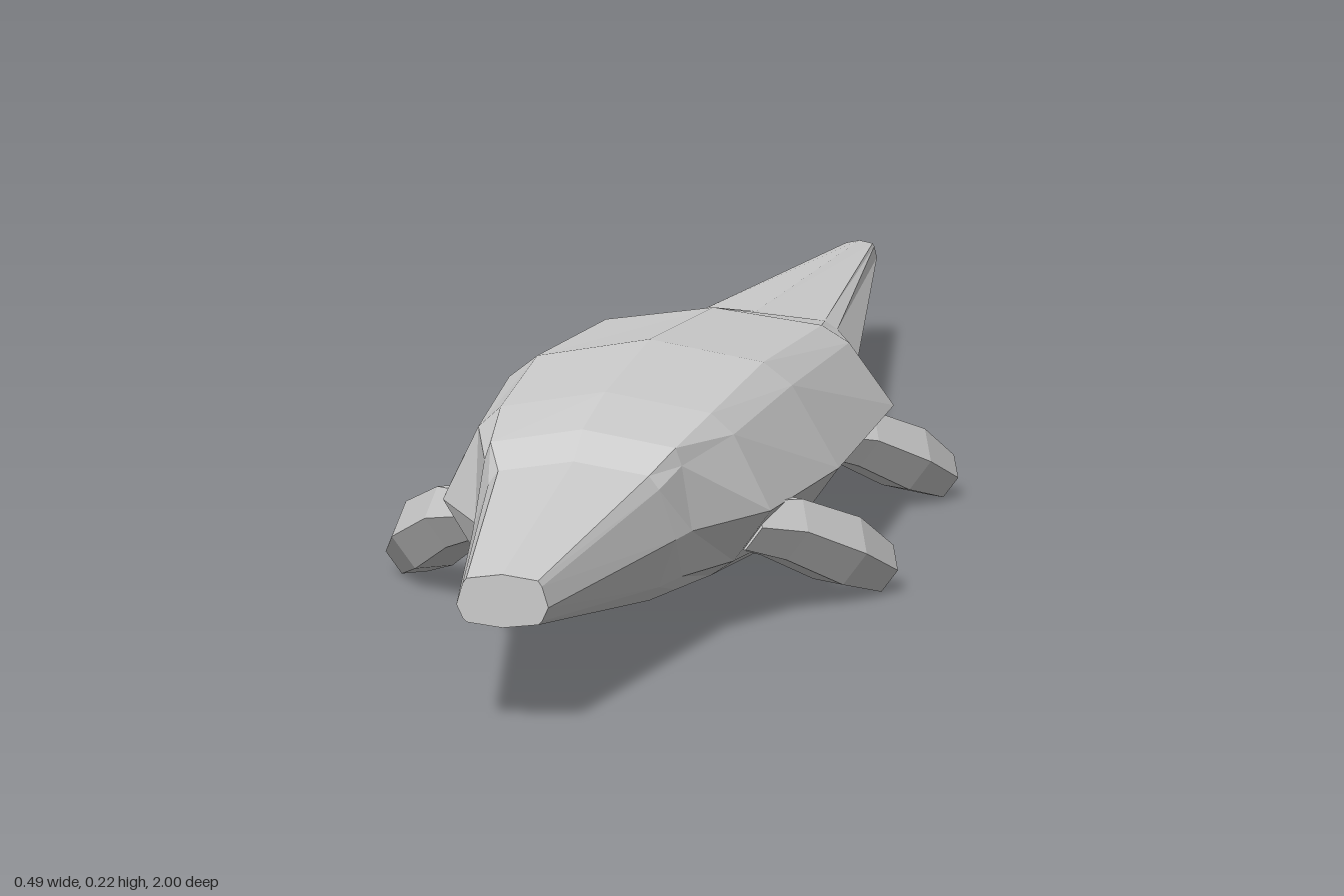
import * as THREE from 'three';

const material = new THREE.MeshStandardMaterial({ color: 0xcccccc, flatShading: true });

// Skin a list of equal-length rings and close both ends
function loft(name, rings) {
  const pos = [];
  const tri = (...pts) => pts.forEach((p) => pos.push(p.x, p.y, p.z));
  const n = rings[0].length;
  for (let i = 0; i < rings.length - 1; i++) {
    for (let j = 0; j < n; j++) {
      const k = (j + 1) % n;
      const a = rings[i][j], b = rings[i][k], c = rings[i + 1][k], d = rings[i + 1][j];
      tri(a, b, c);
      tri(a, c, d);
    }
  }
  const first = rings[0], last = rings[rings.length - 1];
  for (let j = 1; j < n - 1; j++) {
    tri(first[0], first[j + 1], first[j]);
    tri(last[0], last[j], last[j + 1]);
  }
  const geo = new THREE.BufferGeometry();
  geo.setAttribute('position', new THREE.Float32BufferAttribute(pos, 3));
  geo.computeVertexNormals();
  const mesh = new THREE.Mesh(geo, material);
  mesh.name = name;
  return mesh;
}

// Body cross-section: flat-topped, with its widest point at the waterline
function bodyRing([z, w, top, bottom, corner]) {
  const mid = 0.112, up = top - mid, down = mid - bottom;
  const shoulder = corner + (1 - corner) * 0.38;
  const half = [
    [w, mid],
    [w * shoulder, mid + up * 0.66],
    [w * corner, mid + up * 0.84],
    [0, top],
  ];
  const under = [
    [w * corner, mid - down * 0.8],
    [w * shoulder, mid - down * 0.62],
  ];
  const pts = [
    ...half,
    [-half[2][0], half[2][1]], [-half[1][0], half[1][1]], [-w, mid],
    [-under[1][0], under[1][1]], [-under[0][0], under[0][1]],
    [0, bottom], ...under,
  ];
  return pts.map(([x, y]) => new THREE.Vector3(x, y, z));
}

// Stubby limb swept backward and outward
function leg(name, side, dz) {
  const path = [
    [0.12, 0.095, 0.56, 0.026],
    [0.15, 0.085, 0.52, 0.033],
    [0.192, 0.055, 0.462, 0.037],
    [0.222, 0.028, 0.41, 0.026],
  ];
  const dir = new THREE.Vector3(0.1 * side, -0.07, -0.15).normalize();
  const u = new THREE.Vector3().crossVectors(dir, new THREE.Vector3(0, 1, 0)).normalize();
  const v = new THREE.Vector3().crossVectors(dir, u);
  const rings = path.map(([x, y, z, r]) => Array.from({ length: 6 }, (_, j) => {
    const a = (j / 6) * Math.PI * 2;
    return new THREE.Vector3(x * side, y, z + dz)
      .addScaledVector(u, r * Math.cos(a))
      .addScaledVector(v, r * Math.sin(a));
  }));
  return loft(name, rings);
}

export function createModel() {
  const group = new THREE.Group();
  group.name = 'reptile';

  // Stations from back to front: z, half width, top, bottom, corner fraction
  const neck = [0.68, 0.097, 0.199, 0.046, 0.85];
  const tailBase = [-0.23, 0.11, 0.163, 0.072, 0.68];
  const tail = [[-1, 0.022, 0.133, 0.104, 0.75], tailBase];
  const torso = [
    tailBase,
    [0.03, 0.185, 0.207, 0.034, 0.6],
    [0.37, 0.18, 0.229, 0.012, 0.6],
    [0.58, 0.15, 0.215, 0.036, 0.64],
    neck,
  ];
  const head = [neck, [0.72, 0.09, 0.178, 0.044, 0.74], [1, 0.038, 0.138, 0.094, 0.78]];
  group.add(
    loft('tail', tail.map(bodyRing)),
    loft('torso', torso.map(bodyRing)),
    loft('head', head.map(bodyRing)),
  );

  // Legs
  for (const [label, side] of [['Left', 1], ['Right', -1]]) {
    group.add(leg(`front${label}Leg`, side, 0), leg(`rear${label}Leg`, side, -0.455));
  }
  return group;
}
